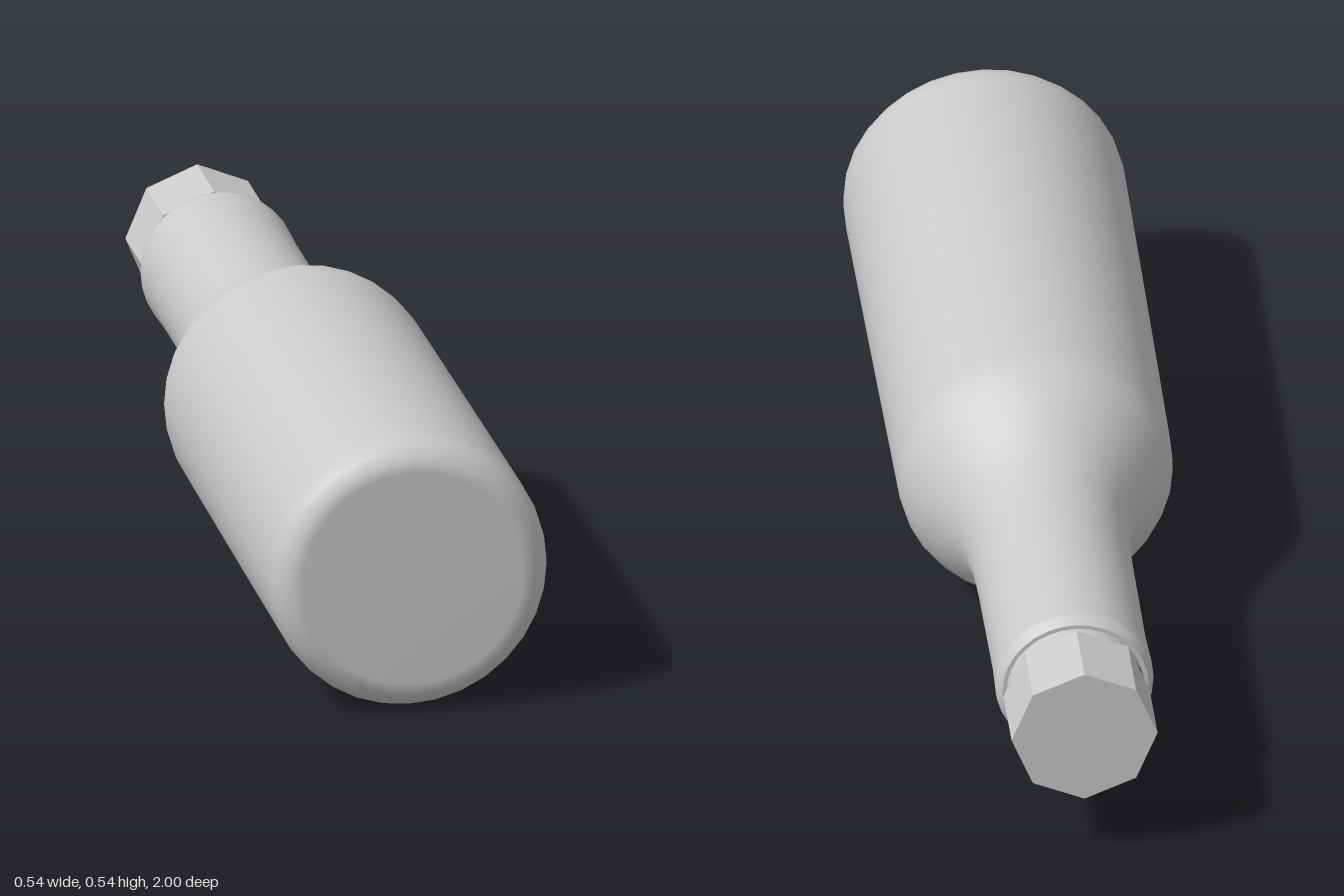
import * as THREE from 'three';

const AXIS_Y = 0.272;

// Profile points are [radius, z]; listed from the base (+z) to the cap (-z).
function turned(name, profile, material) {
  const points = profile.map(([r, z]) => new THREE.Vector2(r, -z));
  const geometry = new THREE.LatheGeometry(points, 32).rotateX(-Math.PI / 2);
  const mesh = new THREE.Mesh(geometry, material);
  mesh.name = name;
  return mesh;
}

export function createModel() {
  const model = new THREE.Group();
  model.name = 'bottle';
  const smooth = new THREE.MeshStandardMaterial({ color: 0xcccccc });
  const faceted = new THREE.MeshStandardMaterial({ color: 0xcccccc, flatShading: true });

  // Base, barrel, shoulder and neck in one smooth profile
  const body = turned('body', [
    [0, 1], [0.215, 1], [0.237, 0.996], [0.258, 0.978], [0.268, 0.958], [0.271, 0.93],
    [0.269, 0.6], [0.266, 0.2], [0.264, -0.04], [0.261, -0.07], [0.25, -0.1],
    [0.228, -0.14], [0.203, -0.18], [0.181, -0.22], [0.166, -0.26], [0.157, -0.31],
    [0.152, -0.37], [0.15, -0.44], [0.149, -0.7], [0.152, -0.8],
  ], smooth);

  // Bevelled mouth and the narrow collar under the cap
  const mouth = turned('mouthBevel', [[0.152, -0.8], [0.151, -0.808], [0.14, -0.824]], smooth);
  const step = turned('mouthStep', [[0.14, -0.824], [0.132, -0.824]], smooth);
  const collar = turned('collar', [[0.132, -0.824], [0.132, -0.85]], smooth);

  // Eight-sided cap
  const cap = new THREE.Mesh(
    new THREE.CylinderGeometry(0.14, 0.14, 0.157, 8).rotateX(-Math.PI / 2), faceted);
  cap.name = 'cap';
  cap.position.z = -0.9215;

  model.add(body, mouth, step, collar, cap);
  model.children.forEach((part) => { part.position.y = AXIS_Y; });
  return model;
}
